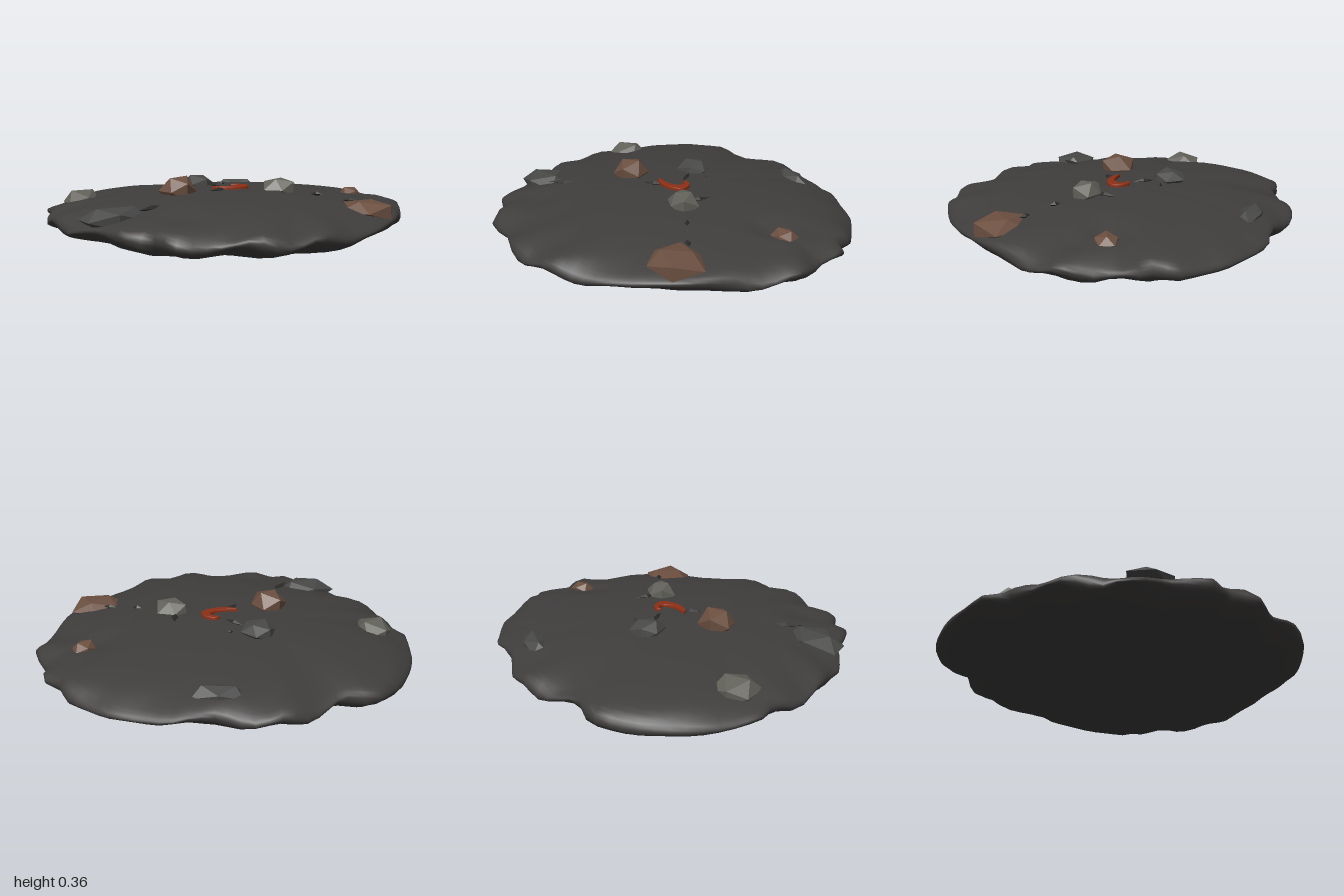
import * as THREE from 'three';
import { mergeVertices } from 'three/addons/utils/BufferGeometryUtils.js';

// Ragged rim of the slab as [x, z] points, running once round the edge
const RIM = [
  [0.995, 0.05], [0.91, 0.25], [0.85, 0.33], [0.77, 0.47], [0.62, 0.64], [0.39, 0.81], [0.22, 0.9],
  [-0.09, 0.945], [-0.31, 0.85], [-0.49, 0.845], [-0.57, 0.71], [-0.67, 0.7], [-0.77, 0.48],
  [-0.91, 0.31], [-0.91, 0.24], [-0.98, 0.04], [-0.995, -0.11], [-0.95, -0.24], [-0.985, -0.33],
  [-0.9, -0.55], [-0.7, -0.79], [-0.5, -0.91], [-0.34, -0.86], [-0.1, -0.955], [0.09, -0.95],
  [0.27, -0.85], [0.42, -0.82], [0.49, -0.82], [0.59, -0.75], [0.74, -0.64], [0.81, -0.55],
  [0.91, -0.4], [0.9, -0.32], [0.985, -0.25], [0.95, -0.11],
];
const TAU = Math.PI * 2;
const rimPolar = RIM.map(([x, z]) => [(Math.atan2(z, x) + TAU) % TAU, Math.hypot(x, z)]);

// Rim radius at any angle
function rimRadius(angle) {
  const a = ((angle % TAU) + TAU) % TAU;
  for (let i = 0; i < rimPolar.length; i++) {
    const [a0, r0] = rimPolar[i];
    const [a1, r1] = rimPolar[(i + 1) % rimPolar.length];
    const span = (a1 - a0 + TAU) % TAU;
    const t = ((a - a0 + TAU) % TAU) / span;
    if (t <= 1) return r0 + (r1 - r0) * t;
  }
  return 0.95;
}

// Hollows in the upper face: x, z, width, depth
const HOLLOWS = [[0.67, -0.06, 0.09, 0.04], [-0.42, 0.6, 0.09, 0.035], [0.8, 0.06, 0.06, 0.03]];

// Flattened sphere with a broken, craggy rim and a smooth crown
function slabGeometry() {
  const sphere = new THREE.SphereGeometry(1, 96, 40);
  sphere.deleteAttribute('uv');
  sphere.deleteAttribute('normal');
  const geo = mergeVertices(sphere, 1e-4);
  const p = geo.attributes.position;
  for (let i = 0; i < p.count; i++) {
    const h = p.getY(i);
    const flat = Math.hypot(p.getX(i), p.getZ(i));
    const a = Math.atan2(p.getZ(i), p.getX(i));
    const edge = flat ** 6;
    const crag = Math.sin(a * 17 + h * 9) * Math.sin(a * 7 - h * 6 + 1);
    const r = flat * rimRadius(a + h * 0.12 * Math.sin(a * 5)) * (1 + 0.035 * edge * Math.abs(h) * crag);
    const x = r * Math.cos(a), z = r * Math.sin(a);
    let y = 0.143 + 0.139 * h + 0.018 * edge * Math.sin(a * 11 + Math.sin(a * 4) * 2 + h * 3);
    if (h > 0) for (const [hx, hz, w, d] of HOLLOWS) {
      y -= d * h * Math.exp(-((x - hx) ** 2 + (z - hz) ** 2) / (w * w));
    }
    p.setXYZ(i, x, Math.max(0, y), z);
  }
  geo.computeVertexNormals();
  return geo;
}

// Faceted boulder, slightly bent out of shape by a position-based rule
function boulderGeometry(seed) {
  const geo = new THREE.IcosahedronGeometry(1, 0);
  const p = geo.attributes.position;
  const v = new THREE.Vector3();
  for (let i = 0; i < p.count; i++) {
    v.fromBufferAttribute(p, i);
    v.multiplyScalar(1 + 0.1 * Math.sin(v.x * 5 + v.y * 7 + v.z * 3 + seed));
    p.setXYZ(i, v.x, v.y, v.z);
  }
  geo.computeVertexNormals();
  return geo;
}

// Tapered crescent outline, bulging toward the front and hooked on its left
function crescentGeometry() {
  const s = new THREE.Shape();
  s.moveTo(-0.105, 0.0);
  s.bezierCurveTo(-0.07, -0.06, 0.06, -0.055, 0.09, -0.015);
  s.bezierCurveTo(0.105, 0.02, 0.09, 0.06, 0.045, 0.08);
  s.bezierCurveTo(0.03, 0.082, 0.02, 0.075, 0.018, 0.068);
  s.bezierCurveTo(0.06, 0.06, 0.07, 0.02, 0.035, 0.0);
  s.bezierCurveTo(0.0, -0.02, -0.05, -0.015, -0.105, 0.0);
  const geo = new THREE.ExtrudeGeometry(s, {
    depth: 0.03, curveSegments: 10, bevelThickness: 0.006, bevelSize: 0.003, bevelSegments: 2,
  });
  return geo.rotateX(-Math.PI / 2);
}

export function createModel() {
  const model = new THREE.Group();
  model.name = 'craterSlab';
  const mat = (color, flatShading = false) =>
    new THREE.MeshStandardMaterial({ color, flatShading });
  const add = (name, geo, material, x, y, z) => {
    const mesh = new THREE.Mesh(geo, material);
    mesh.name = name;
    mesh.position.set(x, y, z);
    model.add(mesh);
    return mesh;
  };

  add('slab', slabGeometry(), mat(0x403e3d), 0, 0, 0);

  // Boulders: position, half sizes, turn about y, colour
  const brown = mat(0x6b4f40, true), pale = mat(0x62615a, true), dark = mat(0x484847, true);
  [
    [-0.31, 0.285, 0.045, 0.1, 0.085, 0.105, 0.4, brown],
    [0.23, 0.285, 0.12, 0.085, 0.075, 0.095, 0.9, pale],
    [-0.13, 0.285, -0.285, 0.095, 0.055, 0.1, 0.5, dark],
    [-0.79, 0.2, -0.3, 0.11, 0.07, 0.125, 0.3, pale],
    [-0.69, 0.2, 0.385, 0.18, 0.07, 0.125, 0.1, dark],
    [0.58, 0.205, 0.47, 0.155, 0.065, 0.155, 0.7, brown],
    [0.75, 0.215, -0.08, 0.068, 0.045, 0.07, 0.2, brown],
    [0.23, 0.2, -0.73, 0.14, 0.055, 0.07, -0.35, dark],
  ].forEach(([x, y, z, sx, sy, sz, turn, material], i) => {
    const rock = add('boulder' + (i + 1), boulderGeometry(i * 1.7), material, x, y, z);
    rock.scale.set(sx, sy, sz);
    rock.rotation.y = turn;
  });

  // Slender shards lying on the crown: start x, z, end x, z, height, width
  const black = mat(0x2b2a29, true);
  [
    [-0.075, -0.2, -0.01, -0.09, 0.284, 0.014],
    [-0.14, 0.085, -0.04, 0.02, 0.284, 0.022],
    [0.26, -0.04, 0.225, 0.08, 0.282, 0.02],
    [0.38, 0.225, 0.425, 0.27, 0.268, 0.014],
    [0.51, 0.345, 0.57, 0.385, 0.245, 0.016],
    [0.0, -0.25, 0.025, -0.245, 0.28, 0.007],
    [-0.58, 0.43, -0.44, 0.305, 0.246, 0.024],
  ].forEach(([x0, z0, x1, z1, y, w], i) => {
    const shard = add('shard' + (i + 1), new THREE.OctahedronGeometry(1, 0), black,
      (x0 + x1) / 2, y, (z0 + z1) / 2);
    shard.scale.set(Math.hypot(x1 - x0, z1 - z0) / 2, 0.014, w);
    shard.rotation.y = -Math.atan2(z1 - z0, x1 - x0);
  });

  // Glowing crescent at the centre
  add('emberCrescent', crescentGeometry(), mat(0x8f3015), 0, 0.262, 0);

  return model;
}
